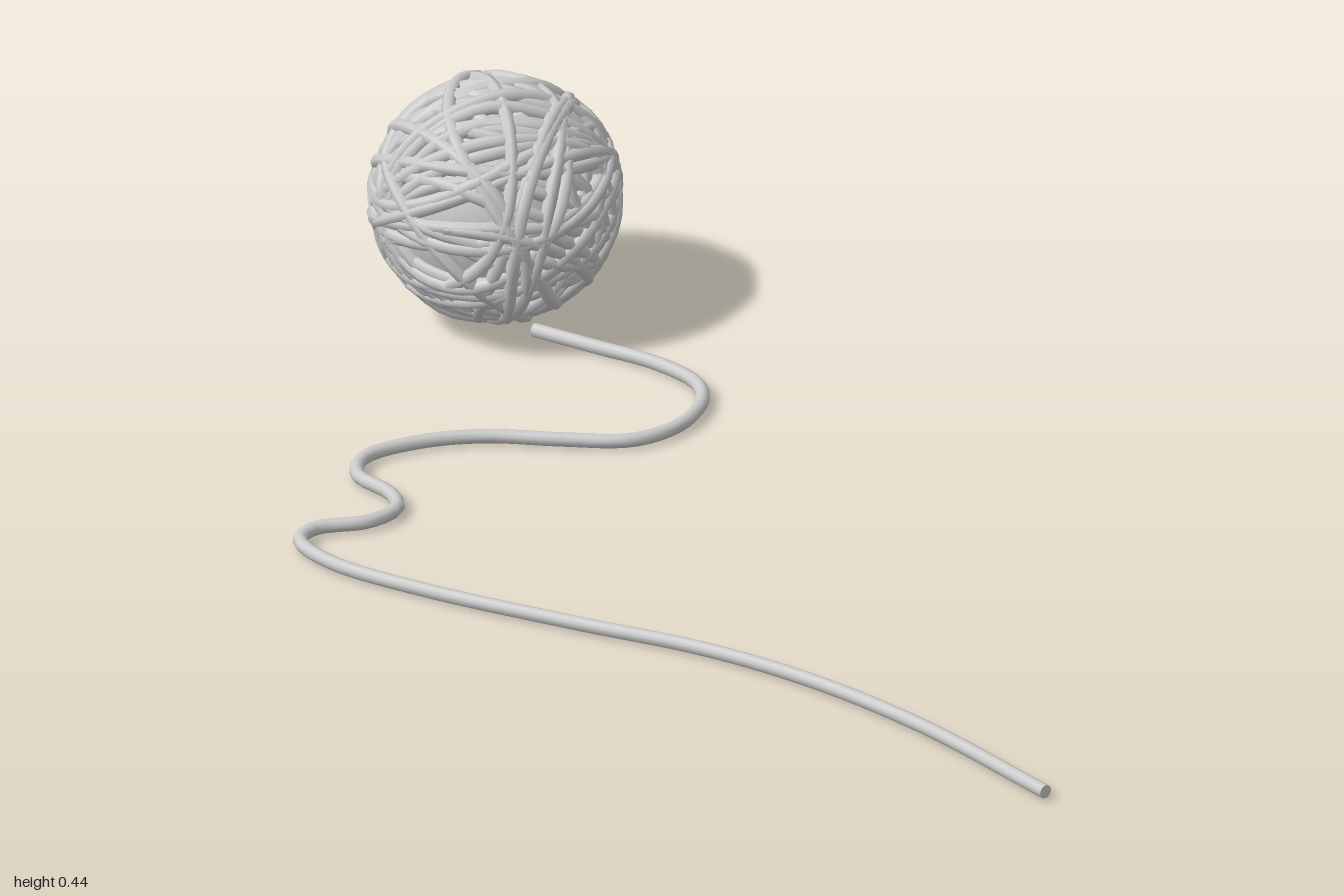
import * as THREE from 'three';

const STRAND = 0.0125;
const CENTER = new THREE.Vector3(-0.413, 0.231, -0.778);

// small seeded generator, returns -1..1
function makeRandom(seed) {
  let s = seed;
  return () => {
    s = (s * 16807) % 2147483647;
    return (s / 2147483647) * 2 - 1;
  };
}

// one closed turn of yarn around the ball: a slightly wavering circle
function wrapCurve(normal, offset, radius, rand) {
  const n = normal.clone().normalize();
  const helper = Math.abs(n.x) < 0.9 ? new THREE.Vector3(1, 0, 0) : new THREE.Vector3(0, 1, 0);
  const u = helper.cross(n).normalize();
  const v = n.clone().cross(u);
  const phase = rand() * Math.PI;
  const sway = 0.012 + 0.012 * Math.abs(rand());
  const points = [];
  for (let i = 0; i < 14; i++) {
    const a = (i / 14) * Math.PI * 2;
    const p = u.clone().multiplyScalar(Math.cos(a))
      .addScaledVector(v, Math.sin(a))
      .multiplyScalar(Math.sqrt(radius * radius - offset * offset))
      .addScaledVector(n, offset + sway * Math.sin(2 * a + phase));
    points.push(p.setLength(radius + 0.004 * rand()));
  }
  return new THREE.CatmullRomCurve3(points, true);
}

export function createModel() {
  const model = new THREE.Group();
  const material = new THREE.MeshStandardMaterial({ color: 0xcccccc });
  const add = (parent, geometry, name) => {
    const mesh = new THREE.Mesh(geometry, material);
    mesh.name = name;
    parent.add(mesh);
    return mesh;
  };

  // ball of yarn: solid core under many crossing turns
  const ball = new THREE.Group();
  ball.name = 'yarnBall';
  ball.position.copy(CENTER);
  model.add(ball);
  add(ball, new THREE.SphereGeometry(0.197, 32, 24), 'ballCore');

  const rand = makeRandom(4127);
  const wrap = (normal, offset, radius, name) => add(ball,
    new THREE.TubeGeometry(wrapCurve(normal, offset, radius, rand), 48, STRAND, 7, true), name);

  // main turns run from side to side, rolled around the x axis
  const turns = 46;
  for (let i = 0; i < turns; i++) {
    const roll = (i / turns) * Math.PI + rand() * 0.06;
    const normal = new THREE.Vector3(rand() * 0.42, Math.cos(roll), Math.sin(roll));
    wrap(normal, rand() * 0.09, 0.203 + 0.005 * rand(), 'mainTurn');
  }

  // a few steeper turns binding the outside
  for (let i = 0; i < 7; i++) {
    const normal = new THREE.Vector3(0.9, rand() * 0.8, rand() * 0.8);
    wrap(normal, rand() * 0.13, 0.208, 'bindingTurn');
  }

  // loose tail snaking along the ground
  const path = [
    [-0.34, -0.69], [-0.23, -0.635], [-0.12, -0.58], [-0.045, -0.51], [-0.031, -0.44],
    [-0.065, -0.345], [-0.14, -0.285], [-0.26, -0.278], [-0.39, -0.28], [-0.5, -0.25],
    [-0.59, -0.185], [-0.597, -0.115], [-0.535, -0.05], [-0.52, 0.005], [-0.565, 0.06],
    [-0.653, 0.092], [-0.676, 0.14], [-0.615, 0.22], [-0.445, 0.312], [-0.18, 0.415],
    [0.05, 0.497], [0.245, 0.603], [0.445, 0.757], [0.677, 0.99],
  ].map(([x, z]) => new THREE.Vector3(x, 0.022, z));
  const curve = new THREE.CatmullRomCurve3(path);
  const tail = new THREE.Group();
  tail.name = 'looseTail';
  model.add(tail);
  add(tail, new THREE.TubeGeometry(curve, 140, STRAND, 10), 'tailStrand');

  // flat cut end
  const cap = add(tail, new THREE.CircleGeometry(STRAND, 10), 'tailEnd');
  cap.position.copy(curve.getPointAt(1));
  cap.lookAt(cap.position.clone().add(curve.getTangentAt(1)));

  return model;
}
